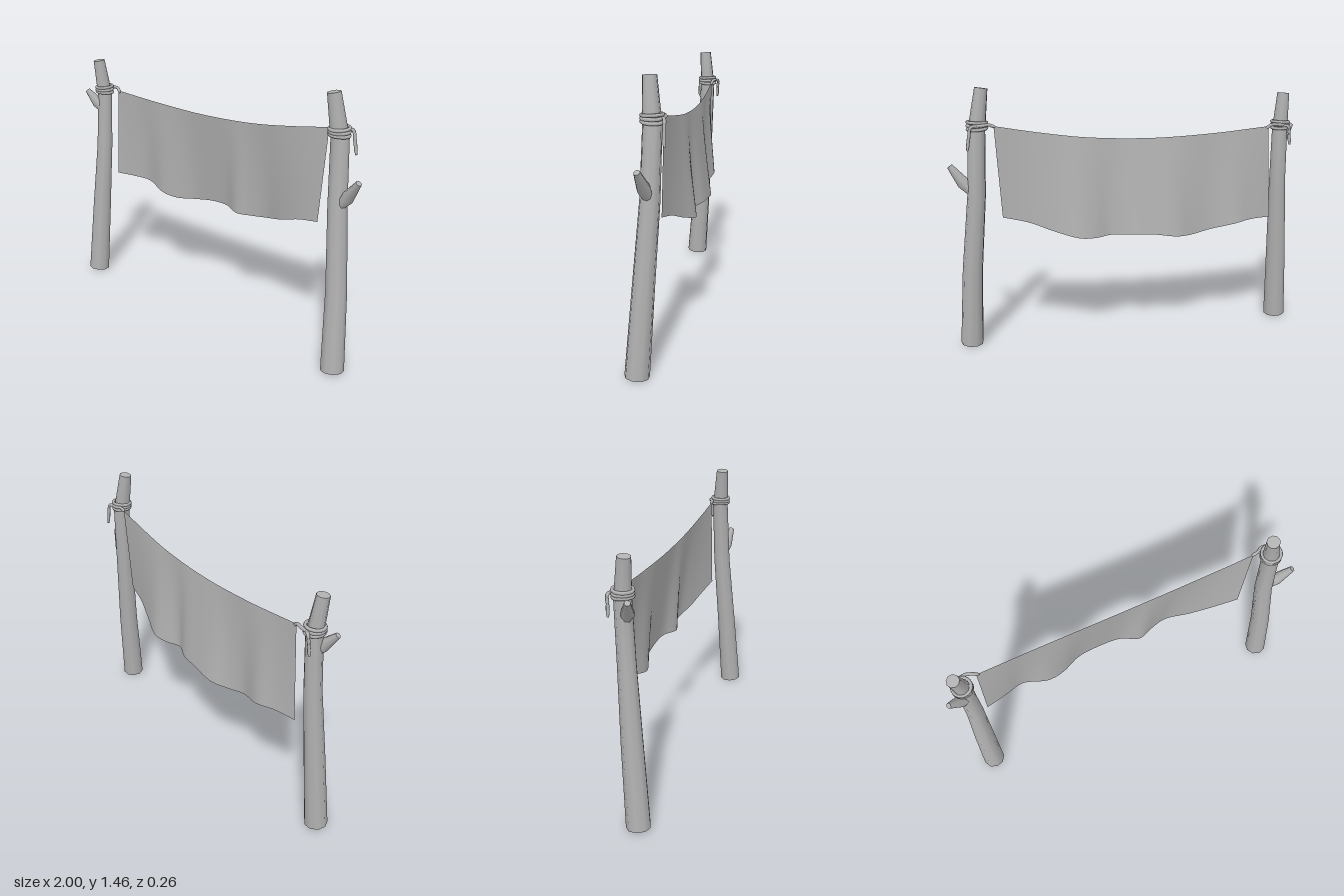
import * as THREE from 'three';

const grey = new THREE.MeshStandardMaterial({ color: 0xb2b2b2 });
grey.name = 'grey';
const clothGrey = new THREE.MeshStandardMaterial({ color: 0xb2b2b2, side: THREE.DoubleSide });
clothGrey.name = 'cloth grey';

// Bent, tapered rod with capped ends; each ring is [x, y, z, radius]
function limb(name, rings, sides) {
  const n = rings.length - 1;
  const geo = new THREE.CylinderGeometry(1, 1, 1, sides, n);
  const pts = rings.map(r => new THREE.Vector3(r[0], r[1], r[2]));
  const up = new THREE.Vector3(0, 1, 0);
  const turns = pts.map((p, i) => new THREE.Quaternion().setFromUnitVectors(up,
    pts[Math.min(i + 1, n)].clone().sub(pts[Math.max(i - 1, 0)]).normalize()));
  const pos = geo.attributes.position, nor = geo.attributes.normal;
  const v = new THREE.Vector3();
  for (let i = 0; i < pos.count; i++) {
    const k = Math.round((pos.getY(i) + 0.5) * n);
    v.fromBufferAttribute(pos, i).setY(0).multiplyScalar(rings[k][3]);
    v.applyQuaternion(turns[k]).add(pts[k]);
    pos.setXYZ(i, v.x, v.y, v.z);
    v.fromBufferAttribute(nor, i).applyQuaternion(turns[k]);
    nor.setXYZ(i, v.x, v.y, v.z);
  }
  const mesh = new THREE.Mesh(geo, grey);
  mesh.name = name;
  return mesh;
}

// Thin rope along a smooth path
function rope(name, points) {
  const curve = new THREE.CatmullRomCurve3(points.map(p => new THREE.Vector3(...p)));
  const rings = curve.getPoints(10).map((p, i) => [p.x, p.y, p.z, i === 10 ? 0.005 : 0.009]);
  return limb(name, rings, 7);
}

// Three wound loops around a post
function lashing(name, x, y, z, radius) {
  const group = new THREE.Group();
  group.name = name;
  for (let i = -1; i <= 1; i++) {
    const loop = new THREE.Mesh(new THREE.TorusGeometry(radius, 0.009, 7, 20), grey);
    loop.name = 'ropeLoop';
    loop.position.set(x, y + i * 0.016, z);
    loop.rotation.set(Math.PI / 2 + i * 0.05, i * 0.05, 0);
    group.add(loop);
  }
  return group;
}

// Sheet hung between a sagging top edge and a wavy hem
function cloth() {
  const edge = list => new THREE.CatmullRomCurve3(list.map(p => new THREE.Vector3(...p)));
  const top = edge([
    [-0.8, 1.197, -0.042], [-0.45, 1.173, -0.057], [-0.1, 1.164, -0.063],
    [0.25, 1.182, -0.06], [0.5, 1.216, -0.052], [0.75, 1.26, -0.042]]);
  const hem = edge([
    [-0.83, 0.66, -0.04], [-0.7, 0.66, -0.068], [-0.6, 0.649, -0.095], [-0.45, 0.615, -0.062],
    [-0.35, 0.6, -0.082], [-0.24, 0.607, -0.126], [-0.1, 0.63, -0.13], [0.02, 0.636, -0.12],
    [0.13, 0.63, -0.076], [0.22, 0.628, -0.108], [0.31, 0.636, -0.125], [0.45, 0.675, -0.084],
    [0.58, 0.724, -0.048], [0.72, 0.756, -0.022]]);
  const geo = new THREE.PlaneGeometry(1, 1, 60, 12);
  const pos = geo.attributes.position;
  for (let i = 0; i < pos.count; i++) {
    const u = pos.getX(i) + 0.5, v = 0.5 - pos.getY(i);
    const p = top.getPointAt(u).lerp(hem.getPointAt(u), v);
    pos.setXYZ(i, p.x, p.y, p.z);
  }
  geo.computeVertexNormals();
  const mesh = new THREE.Mesh(geo, clothGrey);
  mesh.name = 'cloth';
  return mesh;
}

export function createModel() {
  const model = new THREE.Group();
  model.name = 'clothBetweenPosts';

  // Posts
  model.add(
    limb('leftPost', [
      [0.915, 0.006, 0.065, 0.063], [0.892, 0.45, 0.034, 0.056], [0.852, 0.88, 0.006, 0.05],
      [0.837, 1.23, -0.006, 0.047], [0.802, 1.455, 0.012, 0.035]], 9),
    limb('rightPost', [
      [-0.937, 0.006, 0.065, 0.063], [-0.915, 0.45, 0.034, 0.056], [-0.892, 0.85, 0.008, 0.047],
      [-0.886, 1.17, -0.006, 0.044], [-0.906, 1.378, 0.012, 0.034]], 9));

  // Branch stubs
  model.add(
    limb('leftBranch', [
      [0.868, 0.89, 0.01, 0.022], [0.918, 0.95, 0.019, 0.034], [0.985, 1.043, 0.035, 0.016]], 8),
    limb('rightBranch', [
      [-0.888, 1.07, 0.01, 0.022], [-0.919, 1.115, 0.028, 0.034], [-0.982, 1.188, 0.052, 0.015]], 8));

  // Rope lashings with ties to the cloth corners and loose ends
  model.add(
    lashing('leftLashing', 0.833, 1.262, -0.005, 0.05),
    rope('leftTie', [[0.85, 1.265, -0.055], [0.805, 1.268, -0.062], [0.775, 1.268, -0.045], [0.742, 1.255, -0.043]]),
    rope('leftRopeEnd', [[0.835, 1.265, -0.055], [0.87, 1.262, -0.068], [0.882, 1.21, -0.07], [0.893, 1.14, -0.072]]),
    lashing('rightLashing', -0.888, 1.2, -0.005, 0.048),
    rope('rightTie', [[-0.9, 1.2, -0.053], [-0.85, 1.208, -0.06], [-0.815, 1.206, -0.05], [-0.787, 1.185, -0.042]]),
    rope('rightRopeEnd', [[-0.88, 1.2, -0.053], [-0.912, 1.195, -0.07], [-0.918, 1.15, -0.068], [-0.925, 1.09, -0.066]]));

  model.add(cloth());
  return model;
}
